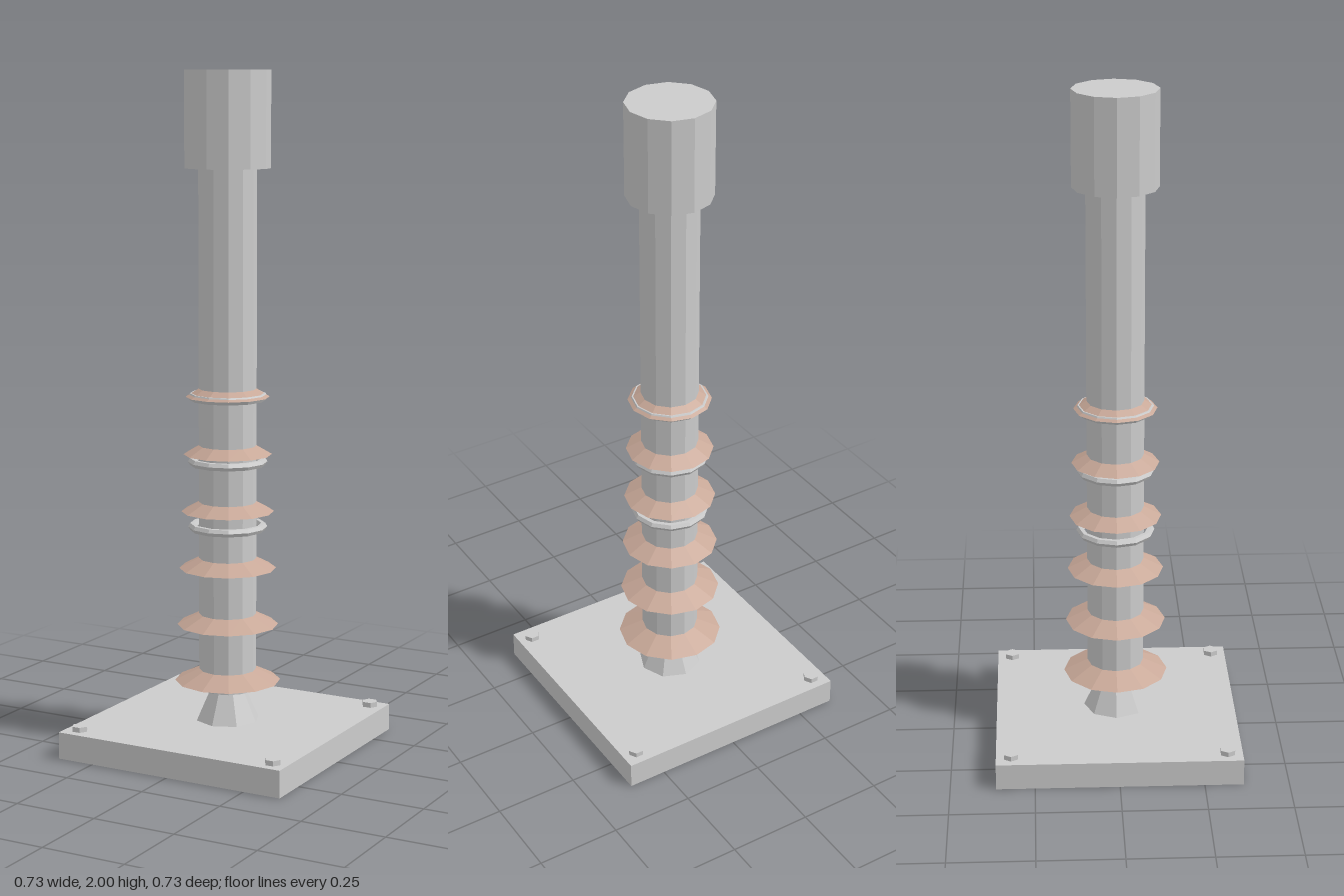
import * as THREE from 'three';

export function createModel() {
  const model = new THREE.Group();
  const grey = new THREE.MeshStandardMaterial({ color: 0xcccccc, flatShading: true });
  const tan = new THREE.MeshStandardMaterial({ color: 0xc8a898, flatShading: true });

  function add(name, geometry, material, x, y, z) {
    const mesh = new THREE.Mesh(geometry, material);
    mesh.name = name;
    mesh.position.set(x, y, z);
    model.add(mesh);
    return mesh;
  }

  // Upright faceted cylinder or cone between two heights
  function drum(name, rTop, rBottom, y0, y1, sides, material = grey, x = 0, z = 0) {
    const geometry = new THREE.CylinderGeometry(rTop, rBottom, y1 - y0, sides);
    return add(name, geometry, material, x, (y0 + y1) / 2, z);
  }

  // Square base plate with a hexagonal bolt in each corner
  add('basePlate', new THREE.BoxGeometry(0.73, 0.08, 0.73), grey, 0, 0.04, 0);
  for (const x of [-0.32, 0.32]) {
    for (const z of [-0.32, 0.32]) {
      drum('bolt', 0.024, 0.024, 0.07, 0.095, 6, grey, x, z).rotation.y = Math.PI / 2;
    }
  }

  // Conical foot, column and wide cap
  drum('foot', 0.05, 0.096, 0.08, 0.18, 8);
  drum('column', 0.085, 0.085, 0.175, 1.73, 12);
  drum('cap', 0.125, 0.125, 1.72, 2, 12);

  // Flared skirts, shrinking upwards
  for (let i = 0; i < 6; i++) {
    const y = 0.2 + i * 0.171;
    drum('skirt', 0.08, 0.157 - i * 0.0067, y, y + 0.037 - i * 0.002, 12, tan);
  }

  // Loose rings around the column
  for (const y of [0.667, 0.862, 1.055]) {
    add('ring', new THREE.TorusGeometry(0.105, 0.012, 6, 12), grey, 0, y, 0).rotation.x = Math.PI / 2;
  }

  return model;
}
